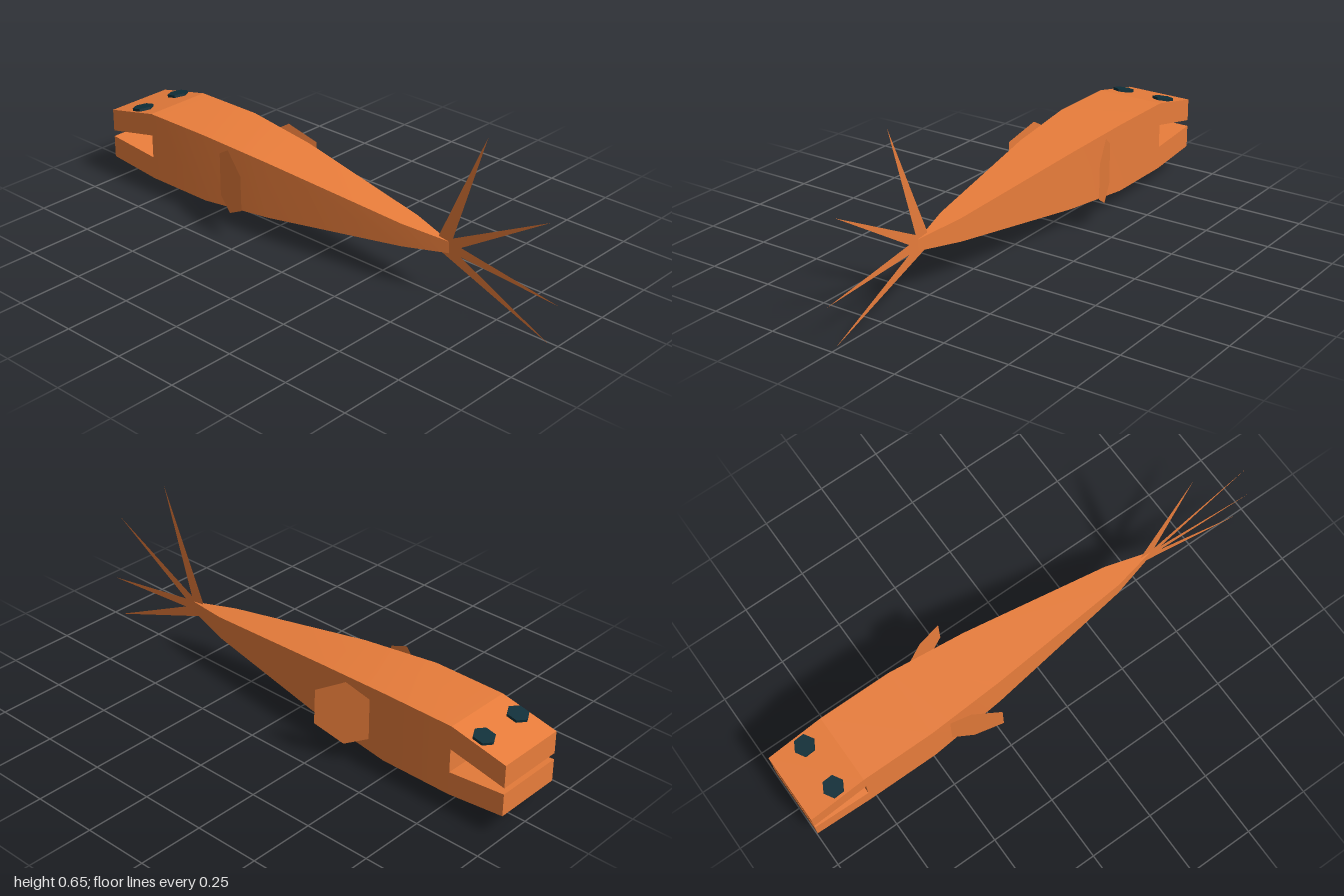
import * as THREE from 'three';
import { toCreasedNormals } from 'three/addons/utils/BufferGeometryUtils.js';

const skin = new THREE.MeshStandardMaterial({ color: 0xe97d3b });
const finSkin = new THREE.MeshStandardMaterial({ color: 0xe97d3b, side: THREE.DoubleSide });
const eyeDark = new THREE.MeshStandardMaterial({ color: 0x10303a, flatShading: true });

const MID = -0.004; // centre line of the body
const GAPE = -0.78; // z of the back of the mouth

// Rectangular loft through sections [z, halfWidth, yBottom, yTop], z increasing
function loft(sections, capStart) {
  const rings = sections.map(([z, w, y0, y1]) => [[-w, y0, z], [w, y0, z], [w, y1, z], [-w, y1, z]]);
  const pos = [];
  const quad = (a, b, c, d) => pos.push(...a, ...b, ...c, ...a, ...c, ...d);
  for (let k = 0; k < rings.length - 1; k++) {
    const [a, b] = [rings[k], rings[k + 1]];
    for (let i = 0; i < 4; i++) {
      const j = (i + 1) % 4;
      quad(a[i], a[j], b[j], b[i]);
    }
  }
  if (capStart) quad(...[...rings[0]].reverse());
  const g = new THREE.BufferGeometry();
  g.setAttribute('position', new THREE.Float32BufferAttribute(pos, 3));
  return toCreasedNormals(g, 0.5);
}

// Flat outline given as [z, y] points, standing in the yz plane
function sheet(points) {
  const shape = new THREE.Shape(points.map(([z, y]) => new THREE.Vector2(z, y)));
  return new THREE.ShapeGeometry(shape).rotateY(-Math.PI / 2);
}

export function createModel() {
  const model = new THREE.Group();
  model.name = 'fish';
  const add = (name, geometry, material, x, y, z) => {
    const mesh = new THREE.Mesh(geometry, material);
    mesh.name = name;
    mesh.position.set(x, y, z);
    model.add(mesh);
    return mesh;
  };

  // Body tapering to a vertical edge at the tail
  add('body', loft([
    [GAPE, 0.134, 0.073, 0.338],
    [-0.5, 0.134, 0.073, 0.338],
    [-0.2, 0.111, 0.097, 0.315],
    [0.37, 0.043, 0.161, 0.247],
    [0.55, 0, 0.182, 0.224],
  ], false), skin, MID, 0, 0);

  // Jaws and the wall at the back of the mouth
  add('upperJaw', loft([[-1, 0.134, 0.204, 0.29], [GAPE, 0.134, 0.25, 0.338]], true), skin, MID, 0, 0);
  add('lowerJaw', loft([[-1, 0.134, 0.095, 0.18], [GAPE, 0.134, 0.16, 0.073 + 0.087]], true), skin, MID, 0, 0)
    .geometry = loft([[-1, 0.134, 0.095, 0.18], [GAPE, 0.134, 0.073, 0.16]], true);
  add('mouthWall', new THREE.PlaneGeometry(0.268, 0.09).rotateY(Math.PI), skin, MID, 0.205, GAPE);

  // Six-sided eyes lying on the sloping snout, and side fins angled outwards
  const finShape = sheet([[0, 0.283], [0.085, 0.332], [0.195, 0.275], [0.198, 0.14], [0.09, 0.083], [0, 0.125]]);
  const eyeShape = new THREE.CylinderGeometry(0.04, 0.04, 0.014, 6);
  for (const [side, label] of [[1, 'left'], [-1, 'right']]) {
    add(label + 'Eye', eyeShape, eyeDark, MID + side * 0.089, 0.32, -0.876).rotation.x = -0.215;
    add(label + 'Fin', finShape, finSkin, -0.002 + side * 0.127, 0, -0.43).rotation.y = side * 0.37;
  }

  // Tail fin with four long spikes
  add('tailFin', sheet([
    [0, 0.235], [0.19, 0.655], [0.06, 0.243], [0.45, 0.44], [0.095, 0.22],
    [0.5, 0.157], [0.095, 0.185], [0.47, 0.004], [0, 0.18],
  ]), finSkin, -0.005, 0, 0.5).rotation.y = -0.01;

  return model;
}
